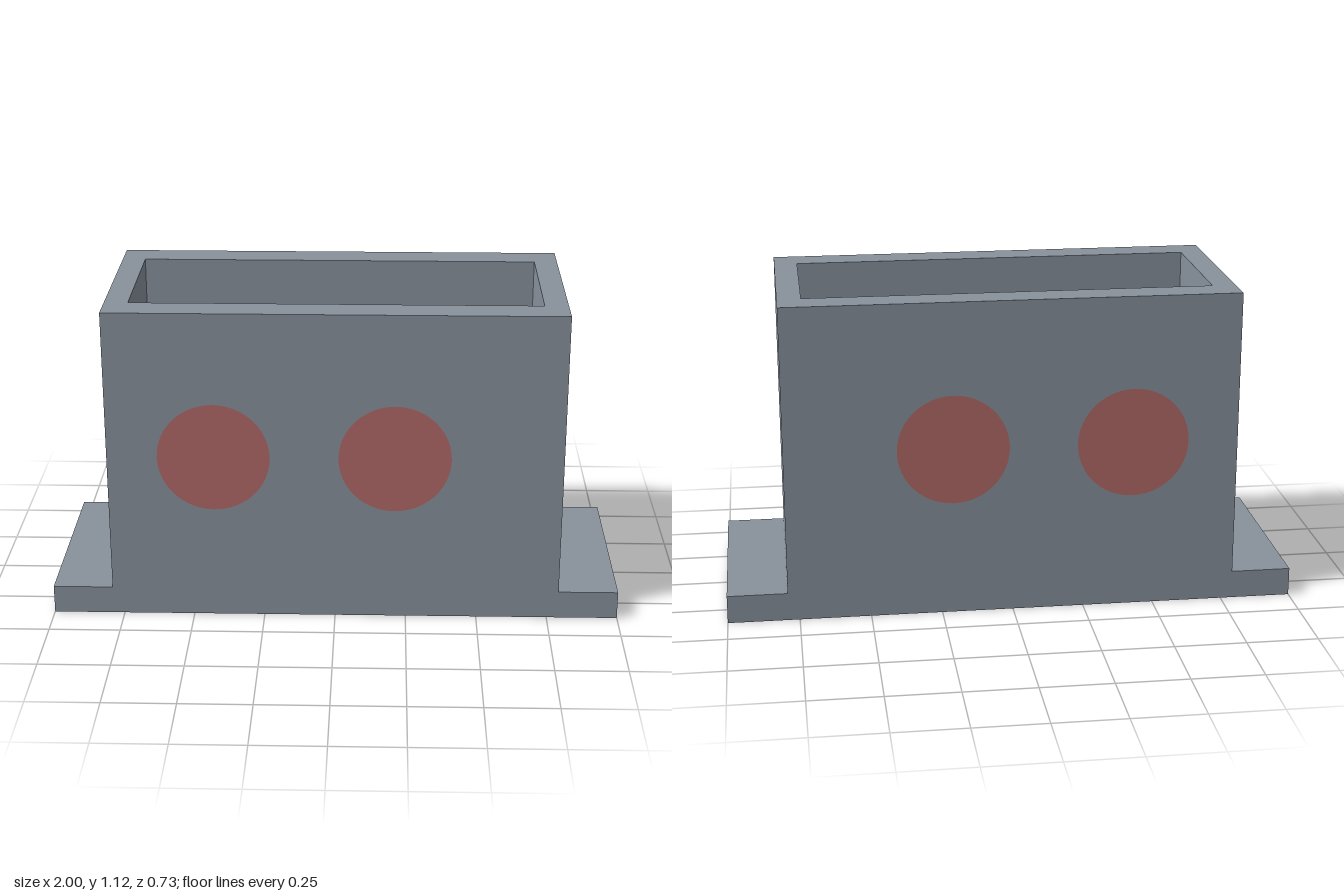
import * as THREE from 'three';

const grey = new THREE.MeshStandardMaterial({ name: 'slateGrey', color: 0x88919c });
const red = new THREE.MeshStandardMaterial({ name: 'dustyRed', color: 0xb26a68 });

const DEPTH = 0.73, BASE = 0.1, TOP = 1.125;

// Rectangle outline centred on the origin
function rectangle(Type, w, h) {
  const x = w / 2, y = h / 2;
  return new Type([[-x, -y], [x, -y], [x, y], [-x, y]].map(p => new THREE.Vector2(...p)));
}

export function createModel() {
  const model = new THREE.Group();
  model.name = 'openBox';
  const add = (name, geometry, material) => {
    const mesh = new THREE.Mesh(geometry, material);
    mesh.name = name;
    model.add(mesh);
    return mesh;
  };

  // Base plate with a flange at each end; its top is the cavity floor
  add('basePlate', new THREE.BoxGeometry(2, BASE, DEPTH), grey).position.y = BASE / 2;

  // Four walls as one rectangular ring, extruded upwards
  const ring = rectangle(THREE.Shape, 1.58, DEPTH);
  ring.holes.push(rectangle(THREE.Path, 1.416, 0.505));
  const walls = new THREE.ExtrudeGeometry(ring, { depth: TOP - BASE, bevelEnabled: false });
  walls.rotateX(-Math.PI / 2).translate(0, BASE, 0);
  add('walls', walls, grey);

  // Round painted discs, matched on the front and back faces
  for (const side of [1, -1]) {
    for (const x of [-0.42, 0.207]) {
      const disc = add(side > 0 ? 'frontDisc' : 'backDisc', new THREE.CircleGeometry(0.195, 48), red);
      disc.position.set(x, 0.603, side * (DEPTH / 2 + 0.002));
      if (side < 0) disc.rotation.y = Math.PI;
    }
  }
  return model;
}
